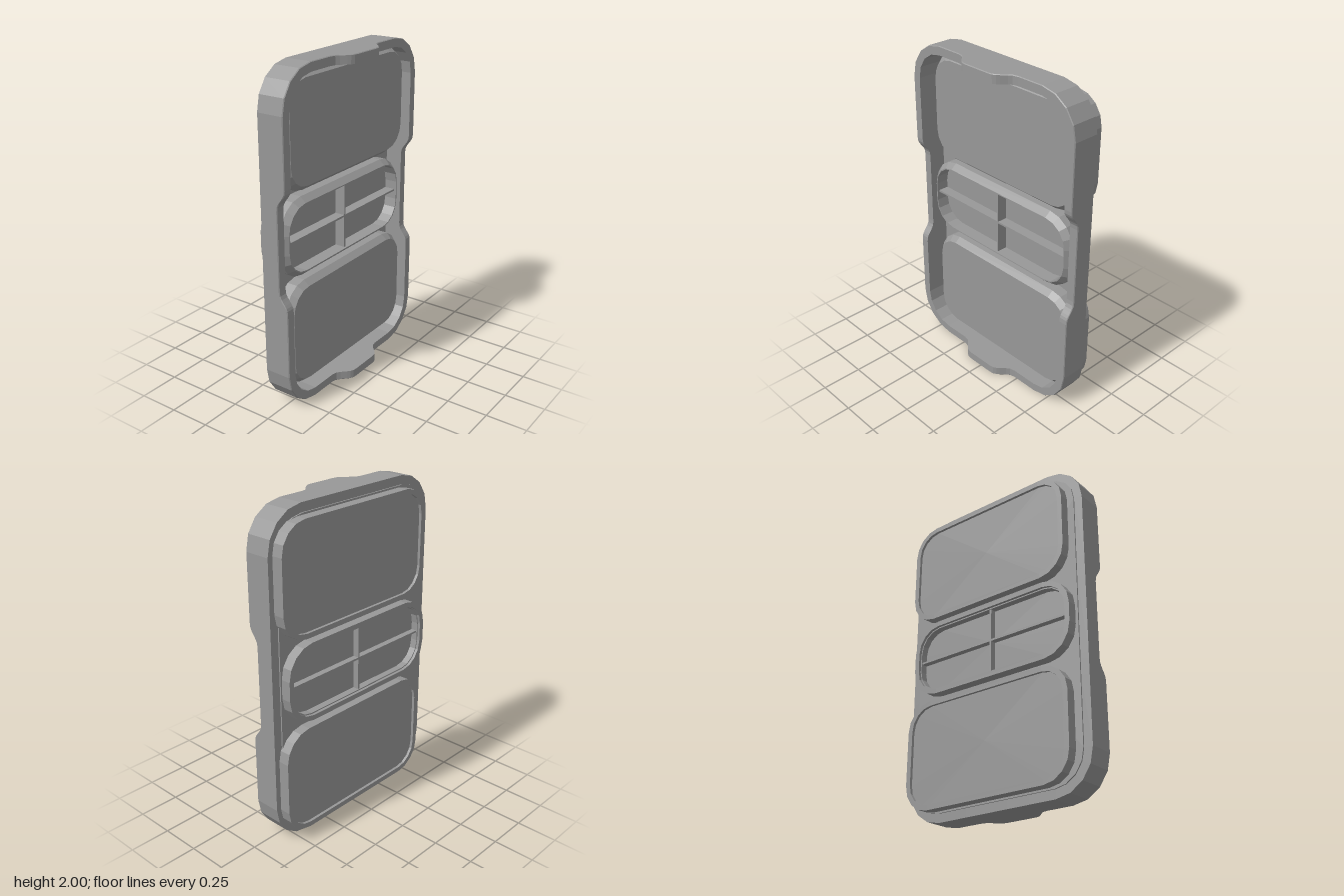
import * as THREE from 'three';

const material = new THREE.MeshStandardMaterial({ color: 0x989898, flatShading: true });

// Counter-clockwise rounded rectangle; xs and ys add points on the straight sides.
function roundRect(cx, cy, hw, hh, r, xs = [], ys = [], n = 4) {
  const pts = [];
  const corner = (sx, sy, start) => {
    for (let i = 0; i <= n; i++) {
      const a = start + (i / n) * Math.PI / 2;
      pts.push(new THREE.Vector2(cx + sx * (hw - r) + r * Math.cos(a), cy + sy * (hh - r) + r * Math.sin(a)));
    }
  };
  corner(1, 1, 0);
  [...xs].reverse().forEach(x => pts.push(new THREE.Vector2(cx + x, cy + hh)));
  corner(-1, 1, Math.PI / 2);
  [...ys].reverse().forEach(y => pts.push(new THREE.Vector2(cx - hw, cy + y)));
  corner(-1, -1, Math.PI);
  xs.forEach(x => pts.push(new THREE.Vector2(cx + x, cy - hh)));
  corner(1, -1, Math.PI * 1.5);
  ys.forEach(y => pts.push(new THREE.Vector2(cx + hw, cy + y)));
  return pts;
}

// Skins a sequence of equal-length rings of Vector3.
function loft(rings) {
  const n = rings[0].length, pos = [], index = [];
  rings.forEach(ring => ring.forEach(p => pos.push(p.x, p.y, p.z)));
  for (let k = 0; k < rings.length - 1; k++) {
    for (let i = 0; i < n; i++) {
      const j = (i + 1) % n, a = k * n, b = a + n;
      index.push(a + i, a + j, b + j, a + i, b + j, b + i);
    }
  }
  const g = new THREE.BufferGeometry();
  g.setAttribute('position', new THREE.Float32BufferAttribute(pos, 3));
  g.setIndex(index);
  const flat = g.toNonIndexed();
  flat.computeVertexNormals();
  return flat;
}

const lift = (pts, z) => pts.map(p => new THREE.Vector3(p.x, p.y, typeof z === 'function' ? z(p) : z));

function add(group, name, geometry) {
  const mesh = new THREE.Mesh(geometry, material);
  mesh.name = name;
  group.add(mesh);
  return mesh;
}

// Rounded shape swept through [inset, z] steps; an inset of null closes at the centre.
function insetLoft(s, steps) {
  return loft(steps.map(([inset, z]) => inset === null
    ? lift(roundRect(s.x, s.y, 0, 0, 0), z)
    : lift(roundRect(s.x, s.y, s.hw - inset, s.hh - inset, s.r - inset), z)));
}

// Front edge height: raised tabs on top and bottom, dips on both sides.
function rimHeight(p) {
  if (Math.abs(p.y - 1) > 0.9 && Math.abs(p.x) < 0.3) {
    return 0.156 - 0.079 * THREE.MathUtils.smootherstep(Math.abs(p.x), 0.09, 0.235);
  }
  return 0.023 + 0.054 * THREE.MathUtils.smootherstep(Math.abs(p.y - 1), 0.235, 0.365);
}

export function createModel() {
  const model = new THREE.Group();
  model.name = 'dividedTray';

  // Surrounding wall with a fine bevel along its front edge
  const mirror = a => [...a.map(v => -v).reverse(), ...a];
  const xs = mirror([0.09, 0.115, 0.135, 0.15, 0.165, 0.18, 0.2, 0.235]);
  const ys = mirror([0.235, 0.26, 0.28, 0.295, 0.31, 0.325, 0.34, 0.365]);
  const wall = inset => roundRect(0, 1, 0.642 - inset, 1 - inset, 0.24 - inset, xs, ys);
  const outer = wall(0), inner = wall(0.054);
  add(model, 'frameWall', loft([
    lift(inner, -0.088), lift(outer, -0.088), lift(outer, p => rimHeight(p) - 0.005),
    lift(wall(0.004), rimHeight), lift(inner, rimHeight), lift(inner, -0.088),
  ]));

  // Back plate set inside the wall
  add(model, 'backPlate', insetLoft({ x: 0, y: 1, hw: 0.589, hh: 0.947, r: 0.187 }, [
    [null, -0.096], [0, -0.096], [0, -0.083], [null, -0.083],
  ]));

  // Large raised panels: chamfered front, shallow recess behind
  [['upperTray', 1.605], ['lowerTray', 0.395]].forEach(([name, y]) => {
    add(model, name, insetLoft({ x: 0.033, y, hw: 0.577, hh: 0.331, r: 0.17 }, [
      [null, -0.14], [0.031, -0.14], [0.031, -0.157], [0, -0.157],
      [0, -0.017], [0.031, 0.02], [null, 0.02],
    ]));
  });

  // Middle compartment: chamfered rim with a floor sunken on both sides
  const middle = { x: 0.004, y: 1.003, hw: 0.576, hh: 0.238, r: 0.18 };
  add(model, 'middleTray', insetLoft(middle, [
    [null, -0.098], [0.038, -0.098], [0.038, -0.14], [0.031, -0.14], [0.031, -0.157], [0, -0.157],
    [0, -0.017], [0.031, 0.02], [0.038, 0.02], [0.038, -0.06], [null, -0.06],
  ]));

  // Crossed dividers
  const depth = 0.14, z = -0.065;
  const across = add(model, 'horizontalDivider', new THREE.BoxGeometry(1.08, 0.012, depth));
  across.position.set(middle.x, middle.y, z);
  const upright = add(model, 'verticalDivider', new THREE.BoxGeometry(0.012, 0.405, depth));
  upright.position.set(0, middle.y, z);

  return model;
}
